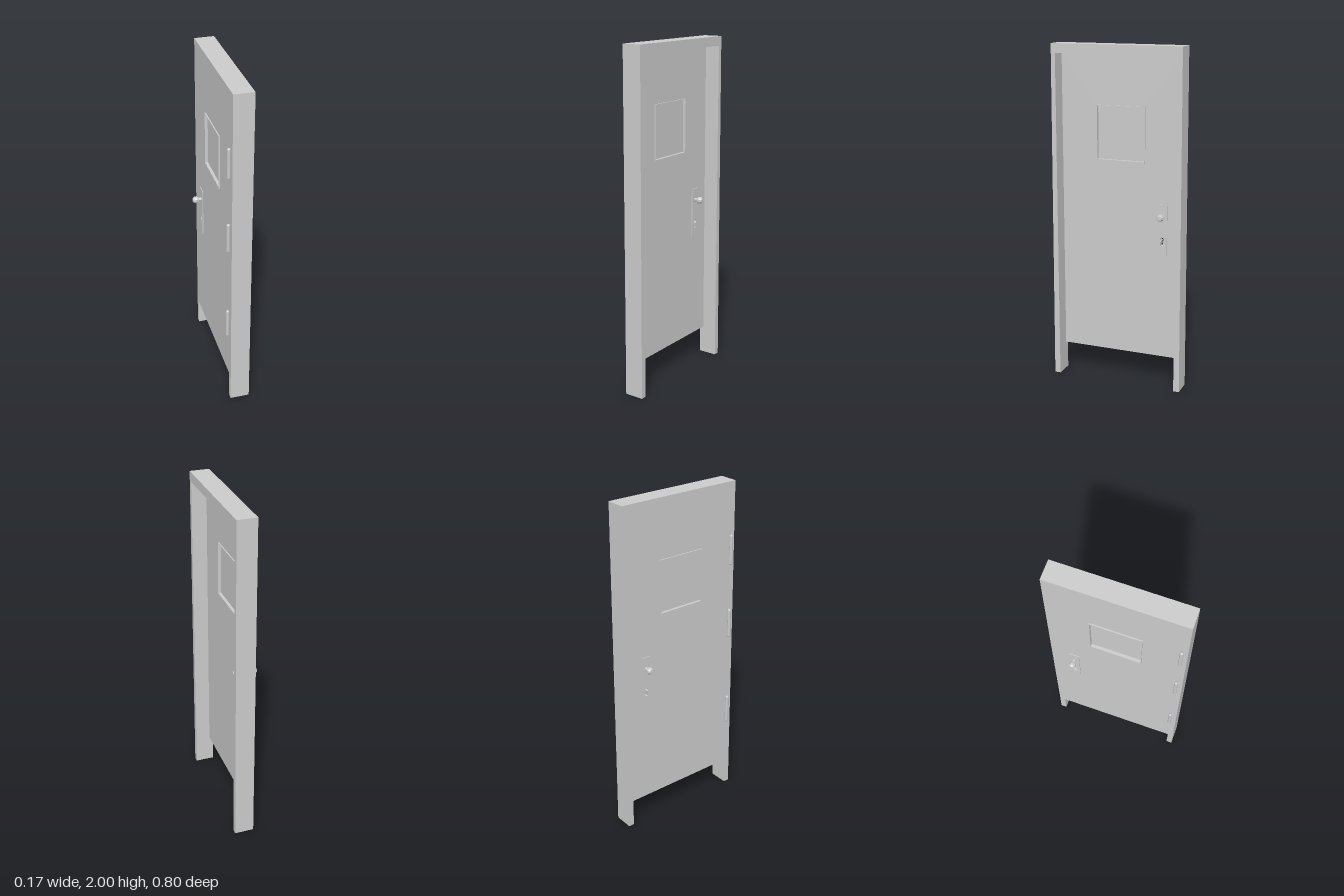
import * as THREE from 'three';

const grey = new THREE.MeshStandardMaterial({ color: 0xcccccc });
const greyFlat = new THREE.MeshStandardMaterial({ color: 0xcccccc, flatShading: true });
const greyDouble = new THREE.MeshStandardMaterial({ color: 0xcccccc, side: THREE.DoubleSide, flatShading: true });

const BACK = -0.03, FRONT = 0.085;      // frame depth in x
const DOOR_FRONT = -0.005;              // recessed face of the leaf
const MID = (BACK + DOOR_FRONT) / 2;
const LOCK_Z = -0.255, KNOB_Y = 1.03;

function mesh(name, geometry, material = grey) {
  const m = new THREE.Mesh(geometry, material);
  m.name = name;
  return m;
}

// Rectangle in the door plane, running along z and y (shape x is -z)
function rect(z0, z1, y0, y1, Type = THREE.Shape) {
  return new Type([[-z1, y0], [-z0, y0], [-z0, y1], [-z1, y1]].map(p => new THREE.Vector2(...p)));
}

// Keyhole: round top over a flared slot
function keyhole() {
  const p = new THREE.Path(), x = -LOCK_Z;
  p.moveTo(x - 0.01, 0.855);
  p.lineTo(x + 0.01, 0.855);
  p.lineTo(x + 0.005, 0.882);
  p.absarc(x, 0.894, 0.012, -1.1, Math.PI + 1.1, false);
  p.closePath();
  return p;
}

// Panel in the door plane between two x positions
function panel(shape, holes, x0, x1) {
  shape.holes.push(...holes);
  return new THREE.ExtrudeGeometry(shape, { depth: x1 - x0, bevelEnabled: false, curveSegments: 8 })
    .rotateY(Math.PI / 2).translate(x0, 0, 0);
}

// Hollow door frame: four sections joined around the opening, open at the feet
function frameGeometry() {
  const sections = [[0.4, 0, 0.365, 0], [0.39, 2, 0.365, 1.945],
    [-0.39, 2, -0.365, 1.945], [-0.4, 0, -0.365, 0]];
  const pos = [], index = [];
  for (const [zo, yo, zi, yi] of sections)
    pos.push(BACK, yo, zo, FRONT, yo, zo, FRONT, yi, zi, BACK, yi, zi);
  for (let s = 0; s < 3; s++)
    for (let k = 0; k < 4; k++) {
      const a = s * 4 + k, b = s * 4 + (k + 1) % 4;
      index.push(a, b, a + 4, b, b + 4, a + 4);
    }
  let g = new THREE.BufferGeometry();
  g.setAttribute('position', new THREE.Float32BufferAttribute(pos, 3));
  g.setIndex(index);
  g = g.toNonIndexed();
  g.computeVertexNormals();
  return g;
}

export function createModel() {
  const group = new THREE.Group();
  group.add(mesh('doorFrame', frameGeometry(), greyDouble));

  // Door leaf with window opening and keyhole
  group.add(mesh('doorLeaf', panel(rect(-0.365, 0.365, 0.17, 1.945),
    [rect(-0.145, 0.145, 1.335, 1.65, THREE.Path), keyhole()], BACK, DOOR_FRONT)));

  // Window: thin rim standing proud on both faces, pane and sill
  const windowGroup = new THREE.Group();
  windowGroup.name = 'window';
  windowGroup.add(mesh('windowRim', panel(rect(-0.148, 0.148, 1.328, 1.654),
    [rect(-0.144, 0.144, 1.332, 1.65, THREE.Path)], BACK - 0.007, DOOR_FRONT + 0.007)));
  const pane = mesh('windowPane', new THREE.BoxGeometry(0.004, 0.318, 0.288));
  pane.position.set(MID, 1.491, 0);
  const sill = mesh('windowSill', new THREE.BoxGeometry(0.0385, 0.01, 0.288));
  sill.position.set(MID, 1.335, 0);
  windowGroup.add(pane, sill);
  group.add(windowGroup);

  // Lock plate and knob on each face
  const knobProfile = [[0.011, 0], [0.011, 0.023], [0.017, 0.025], [0.021, 0.033],
    [0.02, 0.046], [0.014, 0.056], [0, 0.057]].map(p => new THREE.Vector2(...p));
  for (const side of [-1, 1]) {
    const face = side < 0 ? BACK : DOOR_FRONT;
    const x0 = side < 0 ? face - 0.005 : face;
    const name = side < 0 ? 'back' : 'front';
    group.add(mesh(name + 'LockPlate',
      panel(rect(-0.285, -0.225, 0.8, 1.1), [keyhole()], x0, x0 + 0.005)));
    const knob = mesh(name + 'Knob', new THREE.LatheGeometry(knobProfile, 8, Math.PI / 8), greyFlat);
    knob.rotation.z = -side * Math.PI / 2;
    knob.position.set(face, KNOB_Y, LOCK_Z);
    group.add(knob);
  }

  // Three hinge barrels
  [0.553, 1.14, 1.6].forEach((y, i) => {
    const hinge = mesh('hinge' + (i + 1), new THREE.CapsuleGeometry(0.0105, 0.163, 4, 10));
    hinge.position.set(-0.041, y, 0.36);
    group.add(hinge);
  });
  return group;
}
